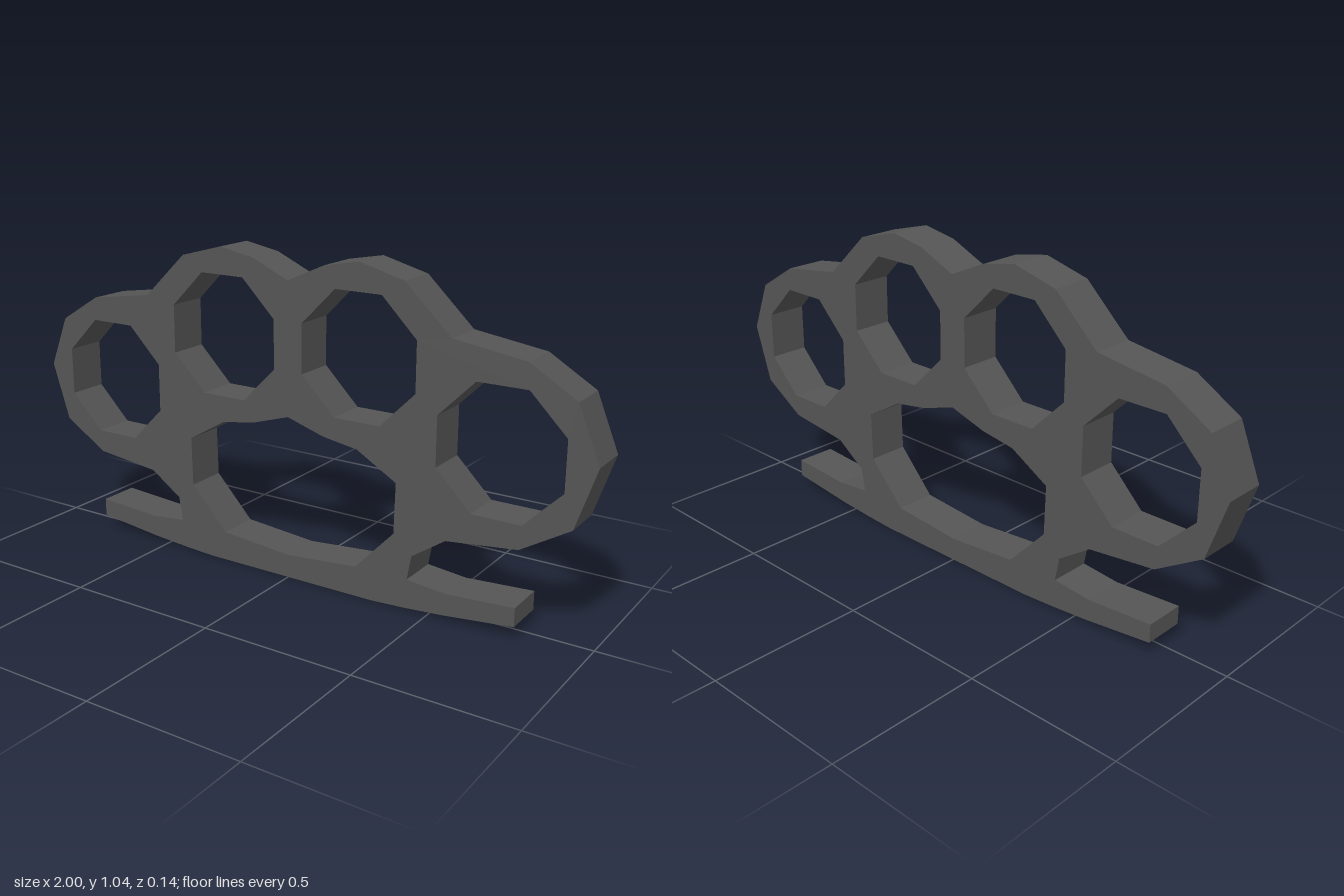
import * as THREE from 'three';

const DEPTH = 0.138;

// Right half of a symmetric outline, listed top to bottom -> full clockwise outline.
function mirrored(half) {
  const other = half.filter(([x]) => x > 0).map(([x, y]) => [-x, y]).reverse();
  return [...half, ...other].map(([x, y]) => new THREE.Vector2(x, y));
}

// Octagonal finger hole with chamfered corners.
function fingerHole(cx, cy) {
  const r = 0.196, s = 0.079;
  const corners = [[r, s], [s, r], [-s, r], [-r, s], [-r, -s], [-s, -r], [s, -r], [r, -s]];
  return new THREE.Path(corners.map(([x, y]) => new THREE.Vector2(cx + x, cy + y)));
}

export function createModel() {
  const group = new THREE.Group();
  const metal = new THREE.MeshStandardMaterial({ color: 0x555555, flatShading: true });
  metal.name = 'dark grey metal';

  // Outer silhouette: finger arches, side notches and palm bar
  const shape = new THREE.Shape(mirrored([
    [0, 0.965], [0.13, 1.023], [0.25, 1.045], [0.4, 1.005], [0.553, 0.86],
    [0.783, 0.826], [0.93, 0.737], [1, 0.566], [0.938, 0.375], [0.783, 0.281],
    [0.555, 0.255], [0.445, 0.18], [0.431, 0.101], [0.56, 0.088], [0.783, 0.102],
    [0.783, 0.042], [0.55, 0.016], [0.42, 0.006], [0.31, 0], [0, 0],
  ]));

  // Four finger holes
  for (const side of [-1, 1]) {
    shape.holes.push(fingerHole(side * 0.247, 0.761), fingerHole(side * 0.711, 0.552));
  }

  // Palm opening, wound against the outer silhouette so its walls face inward
  shape.holes.push(new THREE.Path(mirrored([
    [0, 0.538], [0.13, 0.498], [0.25, 0.479], [0.386, 0.4], [0.382, 0.238], [0.25, 0.098], [0, 0.077],
  ]).reverse()));

  const geometry = new THREE.ExtrudeGeometry(shape, { depth: DEPTH, bevelEnabled: false });
  geometry.translate(0, 0, -DEPTH / 2);
  const body = new THREE.Mesh(geometry, metal);
  body.name = 'knuckleFrame';
  group.add(body);
  return group;
}
